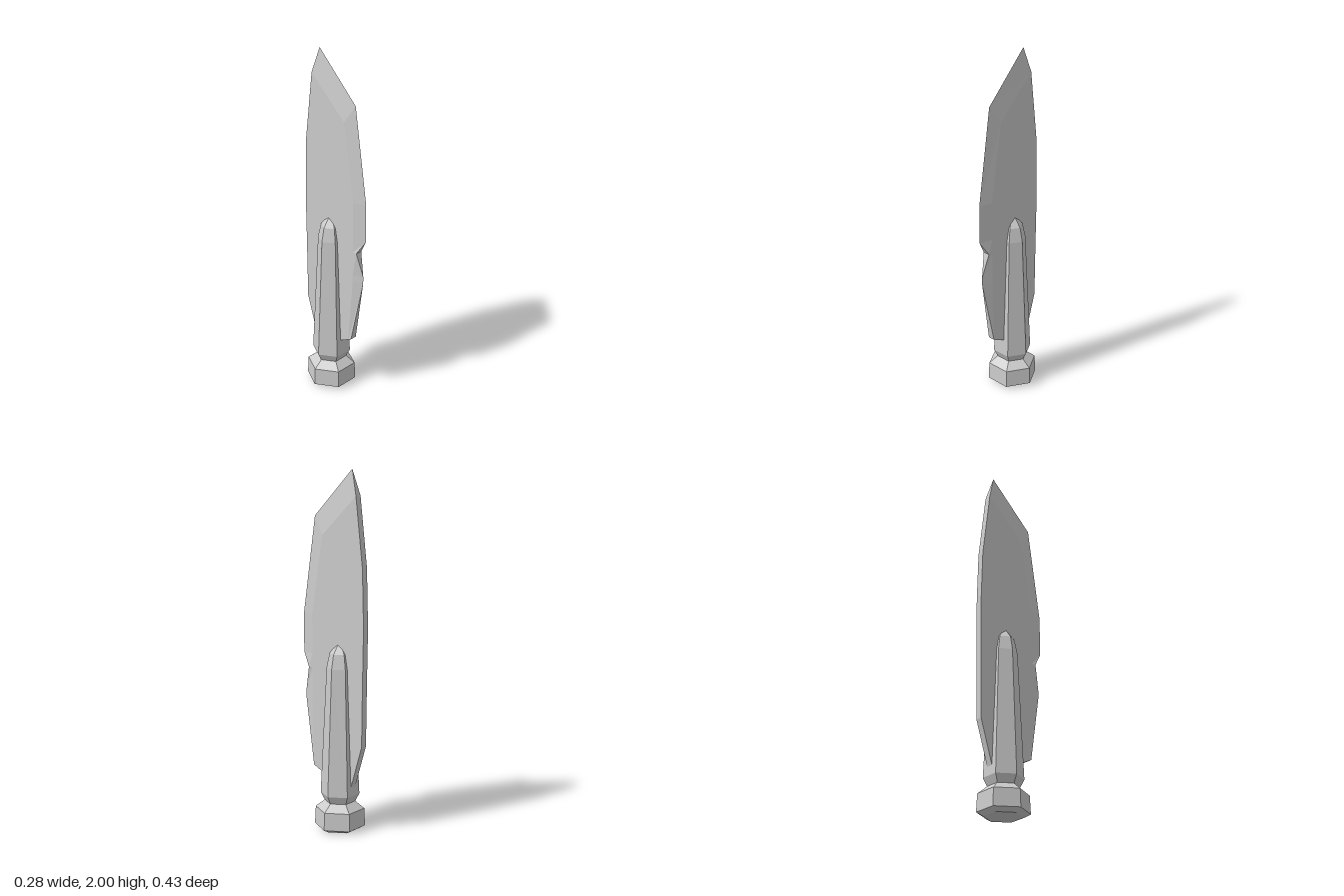
import * as THREE from 'three';

const HALF = 0.02; // half thickness of the blade

// Blade stations from heel to tip:
// [edge z, edge y, edge half width, ridge z, ridge y, spine z, spine y]
const STATIONS = [
  [0.13, 0.34, HALF, 0.11, 0.33, -0.12, 0.215],
  [0.2, 0.72, 0, 0.14, 0.72, -0.205, 0.5],
  [0.2, 0.76, 0, 0.14, 0.76, -0.207, 0.7],
  [0.165, 0.9, HALF, 0.14, 0.9, -0.21, 0.9],
  [0.215, 0.98, 0, 0.14, 0.98, -0.213, 1.08],
  [0.215, 1.2, 0, 0.14, 1.2, -0.213, 1.2],
  [0.135, 1.74, 0, 0.07, 1.64, -0.205, 1.48],
  [-0.12, 2.0, 0, -0.16, 1.86, -0.16, 1.86],
];

function bladeGeometry() {
  // Each ring runs edge, ridge, spine on +x, then back along -x
  const rings = STATIONS.map(([ez, ey, ew, rz, ry, sz, sy]) => [
    [ew, ey, ez], [HALF, ry, rz], [HALF, sy, sz],
    [-HALF, sy, sz], [-HALF, ry, rz], [-ew, ey, ez],
  ]);
  const pos = [];
  const tri = (a, b, c) => pos.push(...a, ...b, ...c);
  for (let s = 0; s < rings.length - 1; s++) {
    const a = rings[s], b = rings[s + 1];
    for (let i = 0; i < 6; i++) {
      const j = (i + 1) % 6;
      tri(a[i], a[j], b[j]);
      tri(a[i], b[j], b[i]);
    }
  }
  // Heel and tip caps
  const heel = rings[0], tip = rings[rings.length - 1];
  for (let i = 1; i < 5; i++) {
    tri(heel[0], heel[i + 1], heel[i]);
    tri(tip[0], tip[i], tip[i + 1]);
  }
  const geo = new THREE.BufferGeometry();
  geo.setAttribute('position', new THREE.Float32BufferAttribute(pos, 3));
  geo.computeVertexNormals();
  return geo;
}

// Six-sided turned part with corners on the x axis
function hexLathe(profile) {
  const points = profile.map(([r, y]) => new THREE.Vector2(r, y));
  return new THREE.LatheGeometry(points, 6, Math.PI / 6);
}

export function createModel() {
  const group = new THREE.Group();
  const material = new THREE.MeshStandardMaterial({ color: 0xcccccc, flatShading: true });
  const add = (name, geometry, z = 0) => {
    const mesh = new THREE.Mesh(geometry, material);
    mesh.name = name;
    mesh.position.z = z;
    group.add(mesh);
  };

  add('blade', bladeGeometry());
  // Tapered grip that clasps the blade
  add('grip', hexLathe([[0.086, 0.16], [0.109, 0.205], [0.075, 0.92], [0.058, 1.0], [0, 1.075]]), -0.04);
  // Heavy foot below the neck
  add('pommel', hexLathe([[0, 0], [0.105, 0], [0.142, 0.02], [0.137, 0.12], [0.086, 0.16]]), -0.04);
  return group;
}
